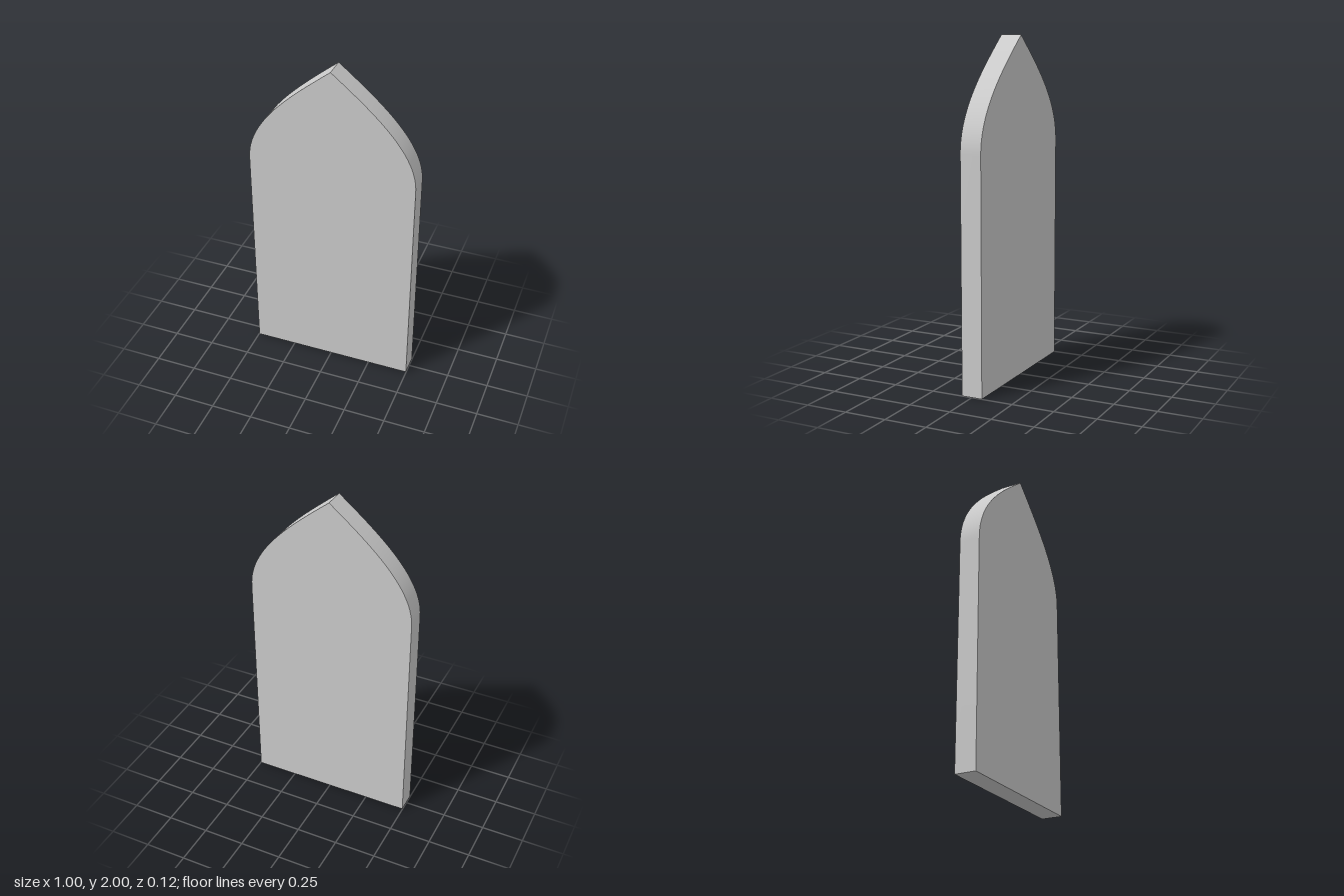
import * as THREE from 'three';
import { toCreasedNormals } from 'three/addons/utils/BufferGeometryUtils.js';

const HALF_WIDTH = 0.498, SPRING = 1.36, HEIGHT = 2, DEPTH = 0.125;

export function createModel() {
  const group = new THREE.Group();
  group.name = 'pointedArchPanel';

  // Outline: straight sides rising into a pointed arch
  const outline = new THREE.Shape();
  outline.moveTo(-HALF_WIDTH, 0);
  outline.lineTo(HALF_WIDTH, 0);
  outline.lineTo(HALF_WIDTH, SPRING);
  outline.bezierCurveTo(HALF_WIDTH, 1.6, 0.25, 1.8, 0, HEIGHT);
  outline.bezierCurveTo(-0.25, 1.8, -HALF_WIDTH, 1.6, -HALF_WIDTH, SPRING);
  outline.closePath();

  // Slab of even thickness, smooth along the arch and sharp at its edges
  const slab = new THREE.ExtrudeGeometry(outline, { depth: DEPTH, bevelEnabled: false, curveSegments: 32 });
  slab.translate(0, 0, -DEPTH / 2);

  const panel = new THREE.Mesh(
    toCreasedNormals(slab, Math.PI / 6),
    new THREE.MeshStandardMaterial({ color: 0xcccccc })
  );
  panel.name = 'panel';
  group.add(panel);
  return group;
}
